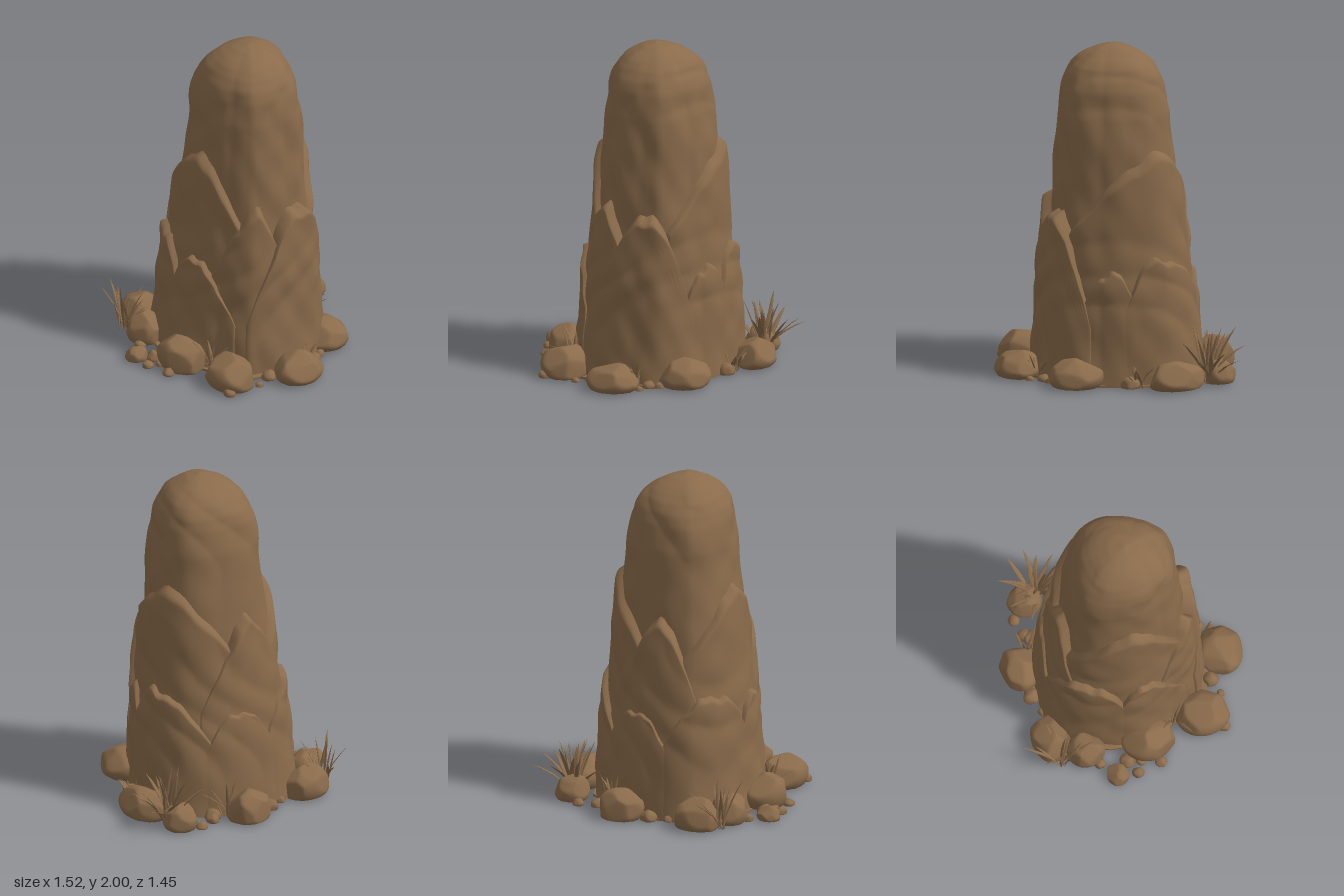
import * as THREE from 'three';
import { mergeVertices, mergeGeometries } from 'three/addons/utils/BufferGeometryUtils.js';

const stone = new THREE.MeshStandardMaterial({ color: 0x8a6b4b });
stone.name = 'brown stone';

// Small seeded random generator
function seeded(seed) {
  let s = (seed * 7919 + 13) % 2147483647;
  const next = () => (s = (s * 16807) % 2147483647) / 2147483647;
  for (let i = 0; i < 5; i++) next();
  return next;
}

// Linear lookup in a list of [key, value] pairs
function lookup(list, k) {
  for (let i = 1; i < list.length; i++) {
    const [k0, v0] = list[i - 1], [k1, v1] = list[i];
    if (k <= k1) return v0 + (v1 - v0) * Math.max(0, (k - k0) / (k1 - k0));
  }
  return list[list.length - 1][1];
}

// Column plan (angle from the front, relative radius) and side profile (height, radius)
const plan = [[-180, 1.04], [-150, 1.1], [-135, 1.06], [-114, 0.98], [-90, 0.94], [-62, 0.89], [-37, 1.0],
  [-15, 0.96], [0, 0.95], [18, 1.0], [55, 0.9], [85, 0.97], [105, 1.06], [126, 1.1], [163, 1.04], [180, 1.04]];
const profile = [[0, 0.43], [1, 0.37], [1.4, 0.342], [1.6, 0.328], [1.75, 0.3], [1.82, 0.277], [1.88, 0.24],
  [1.92, 0.2], [1.95, 0.155], [1.98, 0.09], [2, 0]];

// Soft lumps with creased valleys
function lumps(x, y, z) {
  const a = Math.sin(9 * x + 5 * y + 1.3 * Math.sin(7 * z)) * Math.sin(8 * z - 4 * y + 2);
  const b = Math.abs(Math.sin(11 * x - 7 * y + 6 * z + 2 * Math.sin(5 * y)));
  const c = Math.sin(23 * x + 3) * Math.sin(19 * y + 9 * x) * Math.sin(21 * z + 1);
  return 0.008 * a + 0.009 * (b - 0.6) + 0.006 * c;
}

function columnPoint(deg, y, offset) {
  const wrapped = ((deg + 540) % 360) - 180;
  const a = THREE.MathUtils.degToRad(deg);
  const base = lookup(profile, y);
  let r = base * lookup(plan, wrapped) + offset;
  r += lumps(Math.sin(a) * r, y, Math.cos(a) * r) * Math.min(1, base / 0.2);
  const lean = Math.min(1, y / 1.4);
  return [Math.sin(a) * r + 0.015 + 0.02 * lean, y, Math.cos(a) * r - 0.015 + 0.035 * lean];
}

// Smooth grid surface from a point rule
function grid(nu, nv, pointAt) {
  const pos = [], index = [];
  for (let j = 0; j <= nv; j++)
    for (let i = 0; i <= nu; i++) pos.push(...pointAt(i / nu, j / nv));
  for (let j = 0; j < nv; j++)
    for (let i = 0; i < nu; i++) {
      const a = j * (nu + 1) + i, d = a + nu + 1;
      index.push(a, a + 1, d, a + 1, d + 1, d);
    }
  let g = new THREE.BufferGeometry();
  g.setAttribute('position', new THREE.Float32BufferAttribute(pos, 3));
  g.setIndex(index);
  g = mergeVertices(g, 1e-5);
  g.computeVertexNormals();
  return g;
}

// Overlapping rock plate with a pointed top whose rim sinks into the column
function slabGeometry([centre, half, top, drop, power, offset, skew]) {
  return grid(44, 44, (s, t) => {
    const u = Math.sin((s - 0.5) * Math.PI);
    const v = Math.sin(t * Math.PI / 2);
    const w = u < skew ? (skew - u) / (1 + skew) : (u - skew) / (1 - skew);
    const ragged = 0.018 * Math.sin(9 * u + centre) + 0.01 * Math.sin(21 * u + top * 9);
    const y = 0.008 + v * (top * (1 - drop * Math.pow(w, power)) + ragged * (1 - w));
    const edge = Math.max(Math.abs(u), v > 0.5 ? v : 0);
    const rim = THREE.MathUtils.smoothstep(edge, 0.93, 1);
    const round = 0.2 * u * u * offset;
    return columnPoint(centre + u * half, y, (offset - round) * (1 - rim) - 0.03 * rim);
  });
}

// Chiselled boulder: a sphere cut by random planes and flattened on the ground
function boulderGeometry(rx, h, rz, seed, detail = 8) {
  const rand = seeded(seed);
  const cuts = Array.from({ length: 13 }, () => {
    const a = rand() * Math.PI * 2, e = rand() * 1.3 - 0.1;
    return [new THREE.Vector3(Math.cos(a) * Math.cos(e), Math.sin(e), Math.sin(a) * Math.cos(e)), 0.8 + rand() * 0.14];
  });
  let g = new THREE.IcosahedronGeometry(1.06, detail);
  g.deleteAttribute('uv');
  g.deleteAttribute('normal');
  g = mergeVertices(g, 1e-4);
  const p = g.attributes.position, v = new THREE.Vector3();
  for (let i = 0; i < p.count; i++) {
    v.fromBufferAttribute(p, i);
    for (const [n, d] of cuts) {
      const over = v.dot(n) - d;
      if (over > 0) v.addScaledVector(n, -over * 0.9);
    }
    p.setXYZ(i, v.x * rx, Math.max(0.006, h * 0.4 + v.y * h * 0.64), v.z * rz);
  }
  g.computeVertexNormals();
  return g;
}

// Flat, spindle-shaped blade bending outward
function bladeGeometry(length, width, lean, turn) {
  const points = [[0.25, 0], [0.7, 0.3], [1, 0.55], [0.65, 0.82], [0, 1]].map(([r, y]) => new THREE.Vector2(r * width, y * length));
  const g = new THREE.LatheGeometry(points, 6);
  g.scale(1, 1, 0.35);
  const p = g.attributes.position;
  for (let i = 0; i < p.count; i++) {
    const y = p.getY(i), k = y / length;
    p.setXYZ(i, p.getX(i), y * Math.cos(lean * (0.6 + 0.4 * k)), p.getZ(i) + y * Math.sin(lean * (0.6 + 0.4 * k)));
  }
  g.rotateY(turn);
  g.computeVertexNormals();
  return g;
}

function tuftGeometry(height, width, count, seed) {
  const rand = seeded(seed), blades = [];
  for (let i = 0; i < count; i++) {
    const lean = 0.12 + 0.85 * rand();
    const b = bladeGeometry(height * (0.65 + 0.35 * rand()), width * (0.7 + 0.3 * rand()), lean, i * 2.4 + rand());
    b.translate((rand() - 0.5) * 0.05, 0, (rand() - 0.5) * 0.05);
    blades.push(b);
  }
  return mergeGeometries(blades);
}

export function createModel() {
  const model = new THREE.Group();
  model.name = 'rockPillar';
  const add = (name, geometry, x = 0, y = 0, z = 0) => {
    const mesh = new THREE.Mesh(geometry, stone);
    mesh.name = name;
    mesh.position.set(x, y, z);
    model.add(mesh);
  };

  // Central column with a domed top
  add('column', grid(96, 90, (s, t) => columnPoint(s * 360 - 180, 2 * Math.sin(t * Math.PI / 2), 0)));

  // Plates: centre angle, half width, top, side drop, drop power, thickness, apex skew
  [[100, 78, 1.43, 0.36, 1.5, 0.045, 0.15],
    [-103, 68, 1.42, 0.4, 1.3, 0.045, 0.1],
    [178, 42, 1.24, 0.5, 1.5, 0.06, 0.2],
    [-38, 38, 1.1, 0.5, 1.5, 0.06, 0.1],
    [4, 47, 1.06, 0.75, 1.9, 0.085, 0.1],
    [62, 32, 0.72, 0.6, 1.8, 0.07, 0.1],
    [112, 42, 0.79, 0.55, 2, 0.08, -0.25],
    [-135, 38, 0.77, 0.5, 2.4, 0.085, 0.1],
    [-82, 36, 0.74, 0.6, 1.6, 0.08, -0.2],
    [168, 36, 0.66, 0.6, 1.8, 0.08, 0]].forEach((s, i) => add('slab' + (i + 1), slabGeometry(s)));

  // Underside of the column
  const sole = new THREE.Shape(plan.slice(0, -1).map(([d, r]) => {
    const a = THREE.MathUtils.degToRad(d);
    return new THREE.Vector2(Math.sin(a) * r * 0.53, -Math.cos(a) * r * 0.53);
  }));
  const soleGeometry = new THREE.ExtrudeGeometry(sole, { depth: 0.015, bevelEnabled: false });
  soleGeometry.rotateX(-Math.PI / 2);
  add('sole', soleGeometry);

  // Boulders: x, z, half width, half depth, height
  [[-0.32, -0.54, 0.15, 0.11, 0.18], [0.16, -0.59, 0.14, 0.12, 0.17], [0.56, -0.44, 0.1, 0.1, 0.15],
    [0.6, -0.15, 0.12, 0.17, 0.16], [0.31, 0.37, 0.15, 0.16, 0.17], [-0.07, 0.58, 0.15, 0.13, 0.15],
    [-0.42, 0.37, 0.14, 0.16, 0.18], [-0.49, 0.02, 0.13, 0.16, 0.2], [-0.45, -0.36, 0.1, 0.11, 0.18],
    [-0.64, -0.22, 0.07, 0.065, 0.08]].forEach(([x, z, rx, rz, h], i) =>
    add('boulder' + (i + 1), boulderGeometry(rx, h, rz, i + 3), x, 0, z));

  // Pebbles: x, z, radius
  [[0.47, -0.53, 0.035], [0.33, -0.46, 0.05], [0.36, -0.5, 0.04], [-0.02, -0.57, 0.05], [-0.13, -0.53, 0.03],
    [0.49, 0.1, 0.055], [-0.66, -0.1, 0.035], [-0.63, 0.05, 0.035], [-0.52, 0.47, 0.037], [-0.32, 0.51, 0.024],
    [-0.22, 0.48, 0.045], [0.09, 0.57, 0.024], [0.13, 0.5, 0.035], [0.19, 0.48, 0.03], [-0.54, -0.3, 0.035],
    [-0.57, -0.14, 0.045], [-0.59, -0.06, 0.03], [-0.39, 0.2, 0.035], [0.39, 0.19, 0.035]].forEach(([x, z, r], i) =>
    add('pebble' + (i + 1), boulderGeometry(r, r * 1.3, r, i + 40, 3), x, 0, z));

  // Grass tufts: x, z, height, blade half width, blade count
  [[0.59, -0.36, 0.38, 0.017, 20], [-0.48, -0.51, 0.33, 0.011, 14], [0.52, 0.05, 0.19, 0.012, 10],
    [-0.42, 0.2, 0.29, 0.011, 8], [0.05, 0.51, 0.18, 0.01, 8], [0.25, -0.51, 0.26, 0.011, 9]].forEach(([x, z, h, w, n], i) =>
    add('grassTuft' + (i + 1), tuftGeometry(h, w, n, i + 80), x, 0.01, z));

  return model;
}
